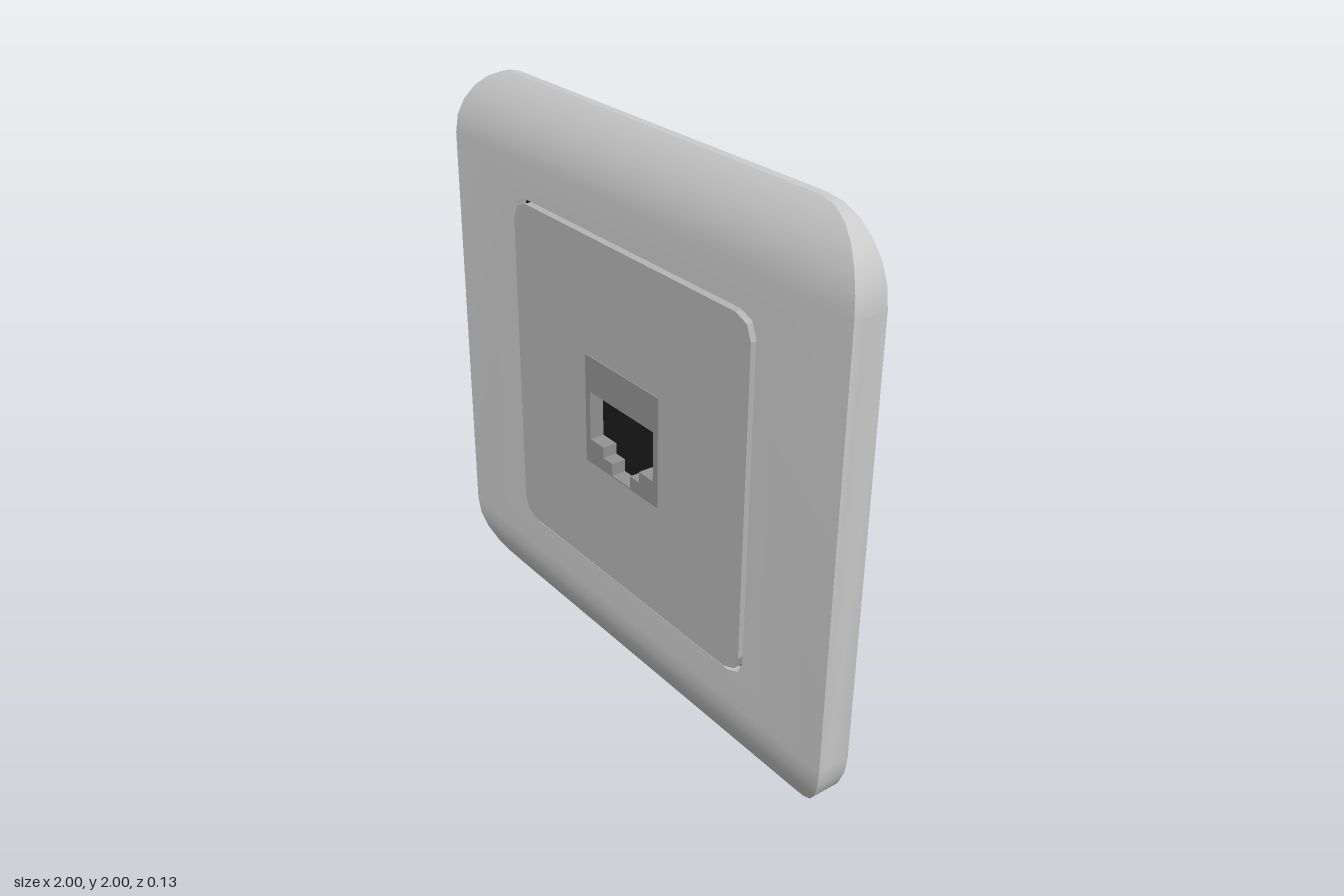
import * as THREE from 'three';
import { mergeGeometries, toCreasedNormals } from 'three/addons/utils/BufferGeometryUtils.js';

const BACK = -0.066, FLOOR = 0.013, FRONT = 0.053;
const RADIUS = 0.25, CURVE = 0.39, STEPS = 6;

const points = list => list.map(([x, y]) => new THREE.Vector2(x, y));

// Rectangle around (0, 1)
const rect = (w, h) => points([[-w, 1 - h], [w, 1 - h], [w, 1 + h], [-w, 1 + h]]);

// Square around (0, 1) whose corners are cut in two facets
function cutSquare(half) {
  const corner = [[half, half - 0.07], [half - 0.02, half - 0.02], [half - 0.07, half]];
  const list = [];
  for (let q = 0; q < 4; q++) {
    for (const [x, y] of corner) {
      const p = new THREE.Vector2(x, y).rotateAround(new THREE.Vector2(), q * Math.PI / 2);
      list.push(p.add(new THREE.Vector2(0, 1)));
    }
  }
  return list;
}

// Flat slab from the socket floor to z, with one opening
function slab(outline, hole, z) {
  const shape = new THREE.Shape(outline);
  shape.holes.push(new THREE.Path(hole));
  return new THREE.ExtrudeGeometry(shape, { depth: z - FLOOR, bevelEnabled: false }).translate(0, 0, FLOOR);
}

// Top band of the plate: rounded corners, front curving back towards the edge
function curvedBand() {
  const pos = [], index = [];
  for (let i = 0; i <= STEPS; i++) {
    const a = i / STEPS * Math.PI / 2;
    const rise = RADIUS * Math.sin(a), w = 1 - RADIUS + RADIUS * Math.cos(a);
    const z = FRONT - CURVE + Math.sqrt(CURVE * CURVE - rise * rise), y = 2 - RADIUS + rise;
    pos.push(-w, y, z, w, y, z, w, y, BACK, -w, y, BACK);
    if (i === 0) continue;
    for (let k = 0; k < 4; k++) {
      const a0 = (i - 1) * 4 + k, b0 = (i - 1) * 4 + (k + 1) % 4;
      index.push(a0, b0, b0 + 4, a0, b0 + 4, a0 + 4);
    }
  }
  const e = STEPS * 4;
  index.push(e, e + 1, e + 2, e, e + 2, e + 3);
  const geo = new THREE.BufferGeometry();
  geo.setAttribute('position', new THREE.Float32BufferAttribute(pos, 3));
  geo.setIndex(index);
  return geo.toNonIndexed();
}

export function createModel() {
  const group = new THREE.Group();
  const add = (name, geometry, color) => {
    const mesh = new THREE.Mesh(geometry, new THREE.MeshStandardMaterial({ color }));
    mesh.name = name;
    group.add(mesh);
  };

  // Wall plate: two curved bands, a flat frame and the slab behind it
  const band = curvedBand();
  const parts = [
    band,
    band.clone().rotateZ(Math.PI).translate(0, 2, 0),
    slab(rect(1, 1 - RADIUS), cutSquare(0.63), FRONT),
    new THREE.BoxGeometry(2, 2 - 2 * RADIUS, FLOOR - BACK).translate(0, 1, (FLOOR + BACK) / 2).toNonIndexed(),
  ].map(g => {
    g.deleteAttribute('uv');
    g.computeVertexNormals();
    return g;
  });
  add('wallPlate', toCreasedNormals(mergeGeometries(parts), 0.5), 0xcccccc);

  // Dark floor seen in the gap and in the socket
  add('socketFloor', new THREE.PlaneGeometry(1.28, 1.28).translate(0, 1, FLOOR + 0.001), 0x1b1b1b);

  // Raised centre panel
  add('centrePanel', slab(cutSquare(0.618), rect(0.2, 0.2), 0.062), 0xb5b5b5);

  // Network jack with stepped opening
  const half = [[0.05, 0.805], [0.05, 0.85], [0.1, 0.85], [0.1, 0.89], [0.175, 0.89], [0.175, 1.07]];
  const opening = points([...half, ...half.map(([x, y]) => [-x, y]).reverse()]);
  add('jack', slab(rect(0.2, 0.2), opening, 0.067), 0x939393);

  return group;
}
